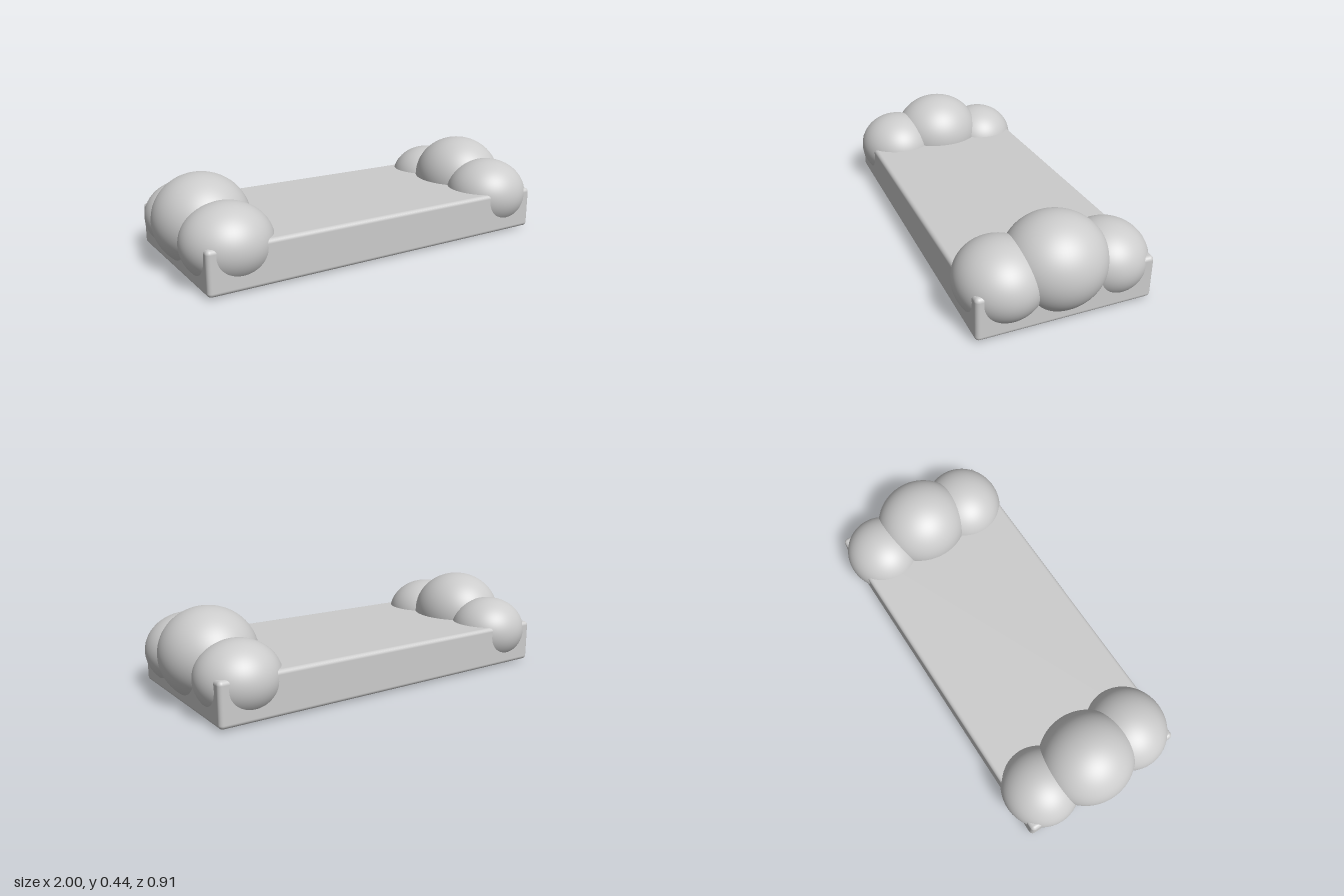
import * as THREE from 'three';
import { RoundedBoxGeometry } from 'three/addons/geometries/RoundedBoxGeometry.js';

export function createModel() {
  const group = new THREE.Group();
  const material = new THREE.MeshStandardMaterial({ color: 0xcccccc, roughness: 0.8 });

  // Flat slab with softened edges
  const slab = new THREE.Mesh(new RoundedBoxGeometry(1.84, 0.21, 0.838, 5, 0.02), material);
  slab.name = 'slab';
  slab.position.y = 0.114;
  group.add(slab);

  // Three slightly squashed balls along each end, all resting on the ground
  const ball = new THREE.SphereGeometry(1, 64, 40);
  const balls = [
    { name: 'frontBall', x: 0.758, z: 0.25, radii: [0.213, 0.182, 0.204] },
    { name: 'middleBall', x: 0.772, z: -0.004, radii: [0.228, 0.22, 0.24] },
    { name: 'backBall', x: 0.757, z: -0.265, radii: [0.198, 0.171, 0.191] },
  ];
  for (const [side, prefix] of [[1, 'left'], [-1, 'right']]) {
    const end = new THREE.Group();
    end.name = prefix + 'End';
    for (const { name, x, z, radii } of balls) {
      const mesh = new THREE.Mesh(ball, material);
      mesh.name = name;
      mesh.scale.set(...radii);
      mesh.position.set(side * x, radii[1] + 0.001, z);
      end.add(mesh);
    }
    group.add(end);
  }
  return group;
}
